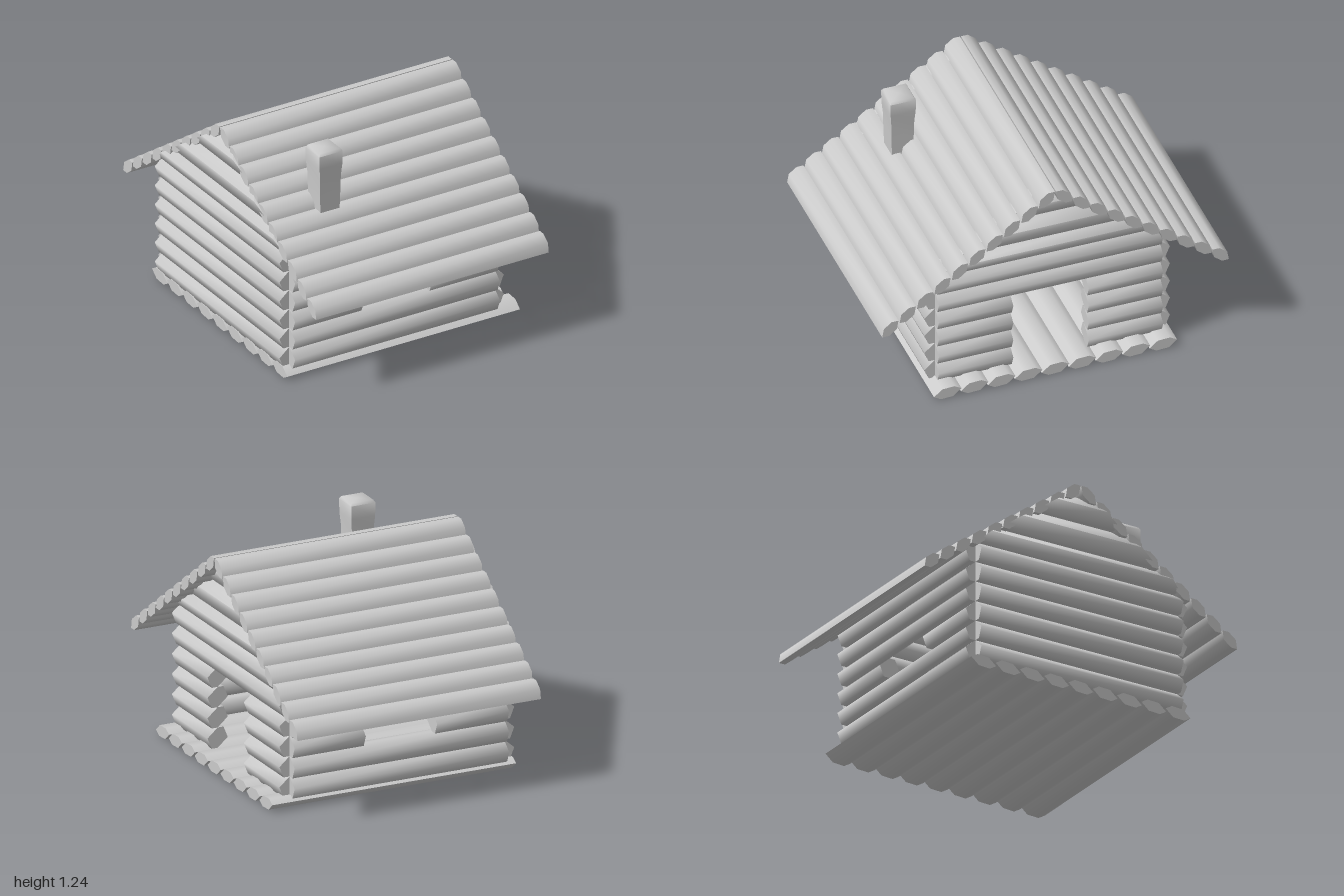
import * as THREE from 'three';
import { toCreasedNormals } from 'three/addons/utils/BufferGeometryUtils.js';

const material = new THREE.MeshStandardMaterial({ color: 0xcccccc });

// Skewed six-sided sections: [outward, up], for a unit half size
const WALL = [[0, 1], [1, 0.08], [0.58, -1], [0, -1], [-1, -0.08], [-0.58, 1]];
const PLANK = [[-1, 0.3], [-0.5, 1], [0.4, 0.9], [1, -0.3], [0.5, -1], [-0.4, -0.9]];

// Log along z, centred, its outward side facing +x
function logGeometry(profile, halfOut, halfUp, length, tilt = 0) {
  const shape = new THREE.Shape(profile.map(([a, b]) => new THREE.Vector2(a * halfOut, b * halfUp)));
  const geo = new THREE.ExtrudeGeometry(shape, { depth: length, bevelEnabled: false });
  return geo.translate(0, 0, -length / 2).rotateZ(tilt);
}

function addMesh(parent, name, geo, x, y, z, turn = 0) {
  const mesh = new THREE.Mesh(toCreasedNormals(geo, 1.4), material);
  mesh.name = name;
  mesh.position.set(x, y, z);
  mesh.rotation.y = turn;
  parent.add(mesh);
}

function addGroup(parent, name) {
  const group = new THREE.Group();
  group.name = name;
  parent.add(group);
  return group;
}

// Half width of the gable at a given height, following the roof
const roofHalf = y => 0.95 - (y - 0.555) * 1.418;

export function createModel() {
  const cabin = new THREE.Group();
  cabin.name = 'logCabin';
  const X0 = -0.685, X1 = 0.61, Z = 0.645, THICK = 0.061;
  const BASE = 0.055, STEP = 0.1165;

  // Floor of flat logs
  const floor = addGroup(cabin, 'floor');
  for (let i = 0; i < 9; i++) {
    addMesh(floor, 'floorLog', logGeometry(PLANK, 0.079, 0.034, 1.47), 0.005, 0.035, (i - 4) * 0.155, -Math.PI / 2);
  }

  // Long walls, the third course broken by a window
  for (const side of [1, -1]) {
    const wall = addGroup(cabin, side > 0 ? 'frontWall' : 'backWall');
    for (let i = 0; i < 6; i++) {
      const spans = i === 2 ? [[X0, -0.25], [0.18, X1]] : [[X0, X1]];
      for (const [a, b] of spans) {
        addMesh(wall, 'wallLog', logGeometry(WALL, THICK, STEP / 2, b - a),
          (a + b) / 2, BASE + STEP * (i + 0.5), side * Z, -side * Math.PI / 2);
      }
    }
  }

  // End walls with gables; the left one has a doorway
  const courses = [0, 1, 2, 3, 4, 5, 6].map(i => BASE + STEP * i).concat(0.87, 1.03, 1.18);
  for (const side of [1, -1]) {
    const wall = addGroup(cabin, side > 0 ? 'leftWall' : 'rightWall');
    for (let i = 0; i < courses.length - 1; i++) {
      const half = (courses[i + 1] - courses[i]) / 2, cy = courses[i] + half;
      const spans = side > 0 && i < 4 ? [[-Z, -0.217], [0.217, Z]] : [[-Z, Z]];
      for (const [a, b] of spans) {
        const geo = logGeometry(WALL, THICK, half, b - a);
        if (i > 5) {
          // Trim the gable log ends to the roof slope
          const p = geo.attributes.position;
          for (let k = 0; k < p.count; k++) {
            p.setZ(k, Math.sign(p.getZ(k)) * Math.min(Z, roofHalf(cy + p.getY(k))));
          }
        }
        addMesh(wall, i > 5 ? 'gableLog' : 'wallLog', geo, side > 0 ? X1 : X0, cy, (a + b) / 2, side > 0 ? 0 : Math.PI);
      }
    }
  }

  // Two roof slopes of ten logs each
  for (const side of [1, -1]) {
    const slope = addGroup(cabin, side > 0 ? 'frontRoof' : 'backRoof');
    for (let i = 0; i < 10; i++) {
      addMesh(slope, 'roofLog', logGeometry(PLANK, 0.064, 0.032, 1.47, -0.61),
        0.005, 0.555 + 0.0705 * i, side * (0.95 - 0.1 * i), -side * Math.PI / 2);
    }
  }

  // Square chimney, flared near the top
  const outline = [[0, 0.85], [0.06, 0.85], [0.063, 0.95], [0.066, 1.08], [0.072, 1.15], [0.073, 1.225], [0.064, 1.24], [0, 1.24]]
    .map(([r, y]) => new THREE.Vector2(r * Math.SQRT2, y));
  addMesh(cabin, 'chimney', new THREE.LatheGeometry(outline, 4, Math.PI / 4), -0.37, 0, 0.49);

  return cabin;
}
